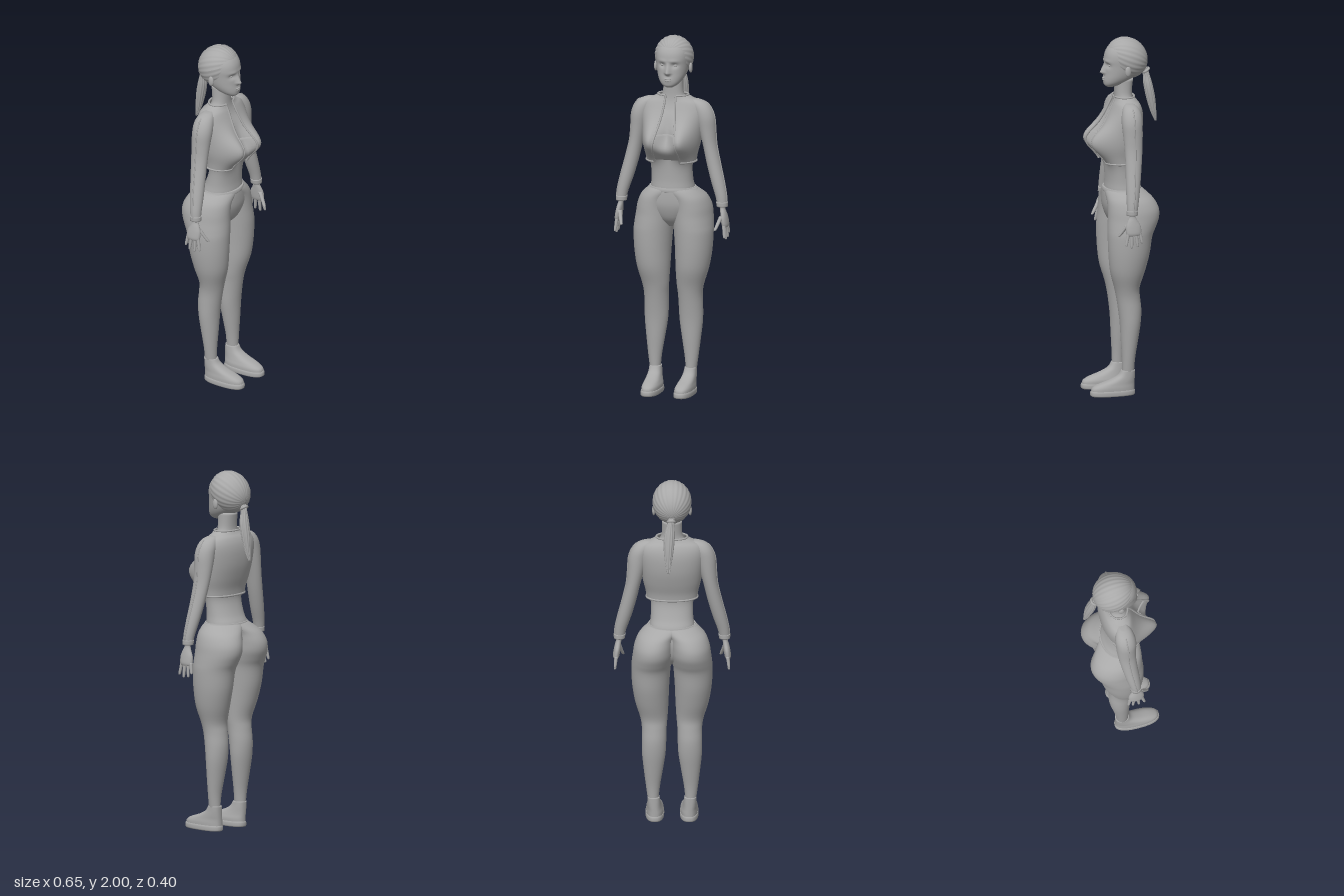
import * as THREE from 'three';

const grey = new THREE.MeshStandardMaterial({ color: 0xa8a8a8, side: THREE.DoubleSide });
grey.name = 'clay grey';

const gauss = (d, s) => Math.exp(-((d / s) ** 2));
const spow = (v, e) => Math.sign(v) * Math.abs(v) ** e;

// Smoothly interpolates a list of sections [y, xMin, xMax, zBack, zFront]
function section(rings, v) {
  const i = Math.min(Math.floor(v), rings.length - 2), t = v - i;
  const at = (k) => rings[Math.max(0, Math.min(rings.length - 1, k))];
  return rings[0].map((_, c) => {
    const [a, b, d, e] = [at(i - 1)[c], at(i)[c], at(i + 1)[c], at(i + 2)[c]];
    const m0 = (d - a) / 2, m1 = (e - b) / 2, t2 = t * t, t3 = t2 * t;
    return (2 * t3 - 3 * t2 + 1) * b + (t3 - 2 * t2 + t) * m0 + (3 * t2 - 2 * t3) * d + (t3 - t2) * m1;
  });
}

// Point on a body surface; angle 0 faces the front, then turns towards +x
function pointOn(rings, v, a, { e = 1, deform } = {}) {
  const [y, x0, x1, zb, zf] = section(rings, v);
  const p = new THREE.Vector3(
    (x0 + x1) / 2 + (x1 - x0) / 2 * spow(Math.sin(a), e), y,
    (zb + zf) / 2 + (zf - zb) / 2 * spow(Math.cos(a), e));
  if (deform) deform(p, a);
  return p;
}

// Skins the sections from bottom to top; "gap" gives the half angle of a front opening
function loft(rings, opt = {}) {
  const { n = 32, sub = 4, gap } = opt, rows = (rings.length - 1) * sub;
  const pos = [], index = [], cols = gap ? n + 1 : n;
  for (let i = 0; i <= rows; i++) {
    const v = i / sub, g = gap ? gap(v) : 0;
    for (let j = 0; j < cols; j++) pos.push(...pointOn(rings, v, g + (j / n) * (2 * Math.PI - 2 * g), opt));
  }
  for (let i = 0; i < rows; i++) for (let j = 0; j < n; j++) {
    const k = (j + 1) % cols, a = i * cols + j, b = i * cols + k;
    index.push(a, b, a + cols, b, b + cols, a + cols);
  }
  if (!gap) {
    for (const [row, flip] of [[0, true], [rows, false]]) {
      const s = section(rings, row / sub), c = pos.length / 3;
      pos.push((s[1] + s[2]) / 2, s[0], (s[3] + s[4]) / 2);
      for (let j = 0; j < n; j++) {
        const a = row * cols + j, b = row * cols + (j + 1) % n;
        index.push(...(flip ? [b, a, c] : [a, b, c]));
      }
    }
  }
  const geo = new THREE.BufferGeometry();
  geo.setAttribute('position', new THREE.Float32BufferAttribute(pos, 3));
  geo.setIndex(index);
  geo.computeVertexNormals();
  return geo;
}

const sym = (rows) => rows.map(([y, rx, zb, zf]) => [y, -rx, rx, zb, zf]);
const mirror = (rings, s) => s > 0 ? rings : rings.map(([y, a, b, zb, zf]) => [y, -b, -a, zb, zf]);
const grow = (rings, d) => rings.map(([y, a, b, zb, zf]) => [y, a - d, b + d, zb - d, zf + d]);
const blob = (rx, ry, rz, x, y, z) => new THREE.SphereGeometry(1, 20, 14).scale(rx, ry, rz).translate(x, y, z);
const cord = (pts, r, closed = false) =>
  new THREE.TubeGeometry(new THREE.CatmullRomCurve3(pts, closed), 60, r, 6, closed);

function bust(p) {
  const f = THREE.MathUtils.smoothstep(p.z, 0, 0.07);
  p.z += 0.1 * f * gauss(Math.abs(p.x) - 0.088, 0.062) * gauss(p.y - 1.43, 0.09);
}

function face(p) {
  const f = THREE.MathUtils.smoothstep(p.z, 0.03, 0.07), x = Math.abs(p.x), y = p.y;
  const nose = y > 1.81 ? Math.max(0, (1.87 - y) / 0.06) : Math.max(0, (y - 1.793) / 0.017);
  p.z += f * (0.026 * nose * gauss(x, 0.011 + 0.004 * nose) - 0.011 * gauss(x - 0.035, 0.019) * gauss(y - 1.852, 0.014)
    + 0.004 * gauss(x, 0.022) * gauss(y - 1.772, 0.013) + 0.004 * gauss(y - 1.875, 0.01) * gauss(x - 0.03, 0.03));
}

export function createModel() {
  const model = new THREE.Group();
  const add = (name, geo) => {
    const m = new THREE.Mesh(geo, grey);
    m.name = name;
    model.add(m);
  };

  // Torso and neck
  const body = sym([
    [1.1, .124, -.1, .085], [1.15, .124, -.105, .09], [1.2, .117, -.08, .086], [1.28, .117, -.055, .086],
    [1.34, .13, -.06, .088], [1.4, .145, -.08, .093], [1.48, .155, -.095, .09], [1.55, .16, -.095, .075],
    [1.6, .145, -.085, .052], [1.635, .095, -.072, .04], [1.665, .066, -.062, .035], [1.7, .056, -.06, .034],
    [1.77, .055, -.068, .035]]);
  add('torso', loft(body, { n: 64, e: 0.92, deform: bust }));

  // Bra, bridging the middle of the chest
  const bra = sym([[1.325, .132, -.063, .094], [1.36, .14, -.07, .098], [1.41, .15, -.085, .1], [1.47, .157, -.096, .096]]);
  add('bra', loft(bra, { n: 64, e: 0.92, deform: (p) => {
    if (p.z > 0.05) p.z += 0.04 * gauss(p.x, 0.05) * gauss(p.y - 1.38, 0.05);
    bust(p);
  } }));

  // Open cropped jacket with trim
  const jacket = sym([
    [1.31, .14, -.068, .1], [1.35, .146, -.074, .102], [1.41, .16, -.092, .104], [1.48, .17, -.108, .1],
    [1.55, .178, -.113, .088], [1.6, .176, -.108, .07], [1.635, .158, -.095, .055], [1.655, .115, -.08, .046],
    [1.672, .085, -.07, .042]]);
  const gap = (v) => {
    const s = section(jacket, v), w = 0.072 - 0.042 * THREE.MathUtils.smoothstep(s[0], 1.33, 1.66);
    return Math.asin((w / s[2]) ** (1 / 0.9));
  };
  const cloth = { n: 72, e: 0.9, gap, deform: bust };
  add('jacket', loft(jacket, cloth));
  const top = jacket.length - 1;
  const line = (f) => Array.from({ length: 31 }, (_, i) => f(i / 30));
  for (const s of [1, -1]) add('jacketFrontTrim', cord(line((t) => pointOn(jacket, t * top, s * gap(t * top), cloth)), 0.006));
  for (const v of [0, top]) {
    const g = gap(v);
    add(v ? 'collar' : 'jacketHem', cord(line((t) => pointOn(jacket, v, g + t * 2 * (Math.PI - g), cloth)), 0.006));
  }

  // Hips and waistband
  add('hips', loft(sym([[.935, .04, -.06, .03], [.98, .11, -.1, .075], [1.05, .17, -.12, .1],
    [1.11, .17, -.12, .103], [1.158, .131, -.109, .1]])));
  add('waistband', loft(sym([[1.14, .142, -.117, .103], [1.15, .135, -.112, .103], [1.16, .131, -.109, .1]])));

  const leg = [
    [.11, .075, .131, -.045, .02], [.2, .066, .143, -.05, .022], [.3, .05, .155, -.066, .027], [.4, .035, .165, -.082, .032],
    [.48, .031, .166, -.087, .041], [.55, .029, .166, -.08, .052], [.61, .024, .176, -.077, .065], [.7, .019, .203, -.103, .09],
    [.8, .015, .219, -.128, .101], [.9, .008, .224, -.144, .105], [.95, .001, .221, -.166, .104], [1, -.006, .215, -.186, .101],
    [1.05, -.01, .207, -.186, .1], [1.1, -.025, .187, -.163, .1], [1.135, -.07, .155, -.13, .1], [1.155, -.11, .13, -.108, .098]];
  const shoe = [
    [.02, .047, .142, -.05, .195], [.045, .047, .142, -.05, .19], [.065, .053, .139, -.05, .155], [.085, .059, .137, -.05, .095],
    [.11, .064, .135, -.05, .045], [.14, .068, .134, -.05, .024]];
  const sole = [[0, .046, .143, -.049, .194], [.006, .043, .146, -.053, .2], [.022, .043, .146, -.053, .2], [.03, .046, .143, -.05, .196]];
  const sleeve = [
    [1.07, .262, .317, -.012, .045], [1.12, .25, .314, -.02, .045], [1.2, .223, .298, -.035, .043], [1.3, .195, .273, -.05, .038],
    [1.4, .172, .251, -.062, .036], [1.48, .15, .244, -.068, .04], [1.55, .13, .239, -.07, .045], [1.6, .115, .222, -.068, .04],
    [1.635, .1, .193, -.055, .026], [1.652, .09, .15, -.035, .005]];
  const palm = [[.95, .294, .322, -.027, .05], [.965, .288, .325, -.031, .056], [1, .283, .32, -.028, .056],
    [1.03, .28, .313, -.012, .045], [1.055, .278, .306, -.002, .034], [1.09, .276, .306, -.002, .035]];
  // Fingers: base z, tip z, tip y
  const fingers = [[-.021, -.033, .905], [.001, -.008, .885], [.023, .026, .88], [.043, .058, .892]];
  const digit = (a, b, r) => [[0, .3], [.08, .75], [.5, .95], [1, 1.1]].map(([t, k]) => {
    const p = b.clone().lerp(a, t);
    return [p.y, p.x - r * k, p.x + r * k, p.z - r * k, p.z + r * k];
  });

  for (const s of [1, -1]) {
    const side = s > 0 ? 'left' : 'right';
    const part = (name, rings, opt) => add(side + name, loft(mirror(rings, s), opt));
    part('Leg', leg, { n: 40 });
    part('Shoe', shoe, { e: 0.8 });
    part('Sole', sole, { e: 0.8 });
    part('Sleeve', sleeve);
    part('Cuff', grow([[1.062, .262, .317, -.012, .045], [1.088, .258, .317, -.013, .045]], 0.003));
    const arm = mirror(sleeve, s);
    add(side + 'SleeveSeam', cord(line((t) => pointOn(arm, t * 8, s * Math.PI / 2)), 0.004));
    part('Hand', palm, { n: 20 });
    for (const [z0, z1, y1] of fingers)
      part('Finger', digit(new THREE.Vector3(.306, .967, z0), new THREE.Vector3(.314, y1, z1), .0095), { n: 10, sub: 3 });
    part('Thumb', digit(new THREE.Vector3(.291, 1.01, .042), new THREE.Vector3(.268, .938, .088), .011), { n: 10, sub: 3 });
    add(side + 'Ear', blob(.01, .029, .017, s * .1, 1.826, -.014).rotateZ(0));
    add(side + 'Eye', blob(.013, .008, .011, s * .035, 1.852, .07));
  }

  // Head with modelled face
  add('head', loft(sym([
    [1.727, .02, .035, .082], [1.738, .04, .005, .095], [1.755, .058, -.03, .099], [1.78, .073, -.07, .098],
    [1.81, .083, -.1, .095], [1.85, .09, -.12, .093], [1.89, .094, -.125, .093], [1.925, .09, -.12, .084],
    [1.955, .075, -.1, .062], [1.98, .045, -.06, .02]]), { n: 96, sub: 8, e: 0.92, deform: face }));
  add('upperLip', blob(.02, .0045, .008, 0, 1.777, .097));
  add('lowerLip', blob(.017, .005, .008, 0, 1.768, .097));

  // Hair combed back, strands running towards the ponytail
  const hair = new THREE.SphereGeometry(1, 120, 40);
  const hp = hair.attributes.position, q = new THREE.Vector3();
  for (let i = 0; i < hp.count; i++) {
    q.fromBufferAttribute(hp, i);
    const around = Math.atan2(q.z, q.x), r = 1 + 0.011 * Math.cos(24 * around) * Math.hypot(q.x, q.z);
    q.multiplyScalar(r).applyAxisAngle(new THREE.Vector3(1, 0, 0), -Math.PI / 2 - 0.4);
    hp.setXYZ(i, q.x * 0.107, 1.884 + q.y * 0.115, -0.034 + q.z * 0.115 + q.y * 0.014);
  }
  hair.computeVertexNormals();
  add('hair', hair);
  const tie = new THREE.TorusGeometry(.019, .007, 8, 24).rotateX(Math.PI / 2 + 0.6).translate(.004, 1.806, -.142);
  add('hairTie', tie);
  add('ponytail', loft([
    [1.52, .012, .024, -.199, -.19], [1.58, .002, .036, -.196, -.163], [1.66, -.01, .044, -.189, -.14],
    [1.73, -.015, .041, -.175, -.127], [1.785, -.012, .026, -.16, -.125], [1.825, -.014, .018, -.148, -.11]],
  { n: 60, sub: 6, deform: (p, a) => { p.x += 0.0015 * Math.sin(a) * Math.cos(12 * a); p.z += 0.0015 * Math.cos(a) * Math.cos(12 * a); } }));

  return model;
}
